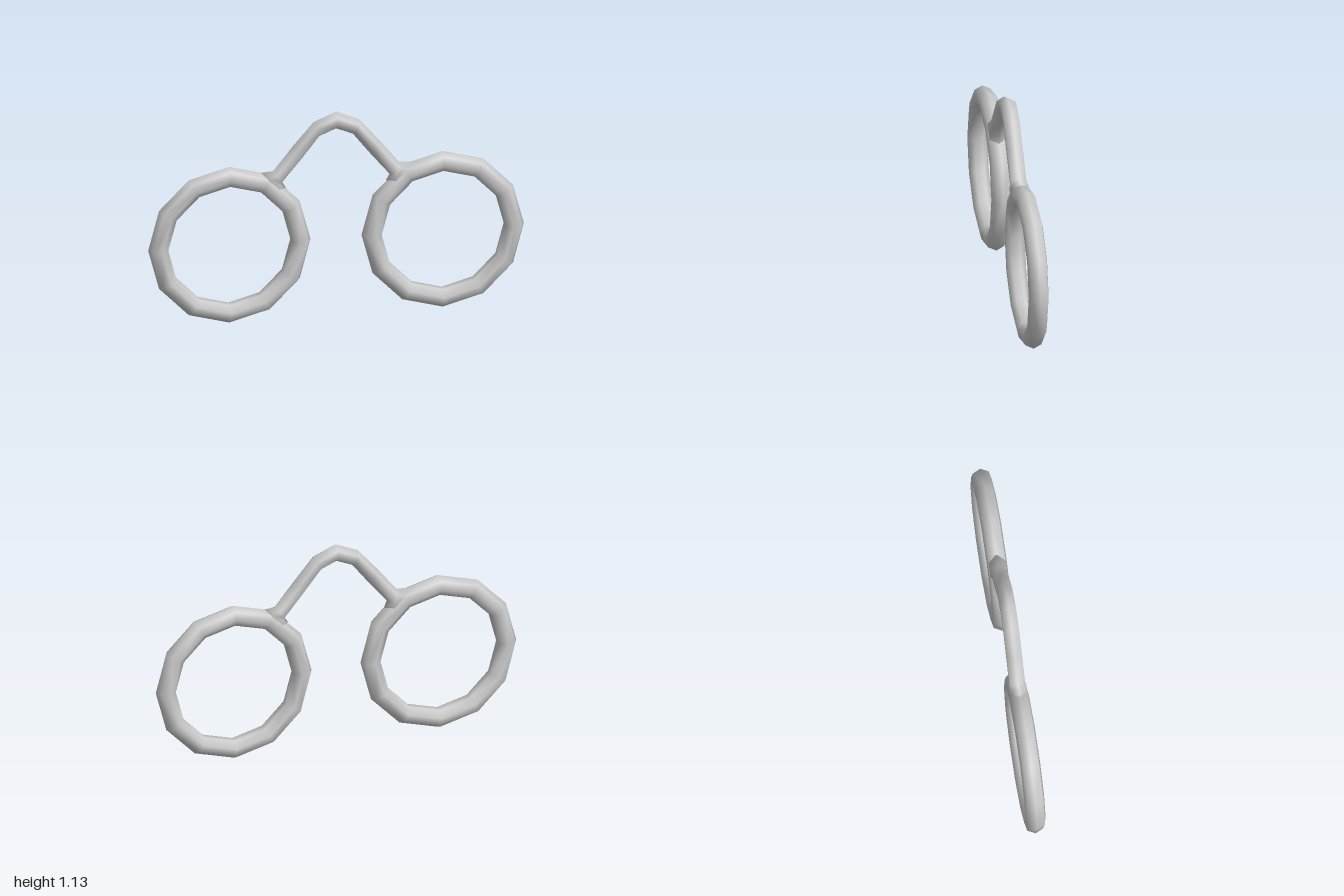
import * as THREE from 'three';

const material = new THREE.MeshStandardMaterial({ color: 0xcccccc, side: THREE.DoubleSide });

// Sweeps a hexagonal section; each row is outer x, y, inner x, y, half depth
function sweptBar(rows, sides = 6) {
  const positions = [], index = [];
  rows.forEach(([ox, oy, ix, iy, depth], i) => {
    for (let j = 0; j < sides; j++) {
      const a = (j / sides) * Math.PI * 2;
      const t = (1 + Math.cos(a)) / 2;
      positions.push(ix + (ox - ix) * t, iy + (oy - iy) * t, Math.sin(a) * depth);
      if (i === rows.length - 1) continue;
      const k = (j + 1) % sides;
      const p = i * sides, q = p + sides;
      index.push(p + j, p + k, q + k, p + j, q + k, q + j);
    }
  });
  const geometry = new THREE.BufferGeometry();
  geometry.setAttribute('position', new THREE.Float32BufferAttribute(positions, 3));
  geometry.setIndex(index);
  geometry.computeVertexNormals();
  return geometry;
}

export function createModel() {
  const group = new THREE.Group();

  // Two twelve-segment lens rims with a seven-sided tube
  for (const side of [1, -1]) {
    const rim = new THREE.Mesh(new THREE.TorusGeometry(0.378, 0.054, 7, 12), material);
    rim.name = side > 0 ? 'leftRim' : 'rightRim';
    rim.position.set(side * 0.568, 0.435, 0);
    rim.scale.x = side;
    group.add(rim);
  }

  // Arched bridge, from its crown to the flared root inside the rim
  const half = [
    [0, 1.13, 0, 1.037, 0.047],
    [0.12, 1.08, 0.09, 1.0, 0.047],
    [0.23, 0.955, 0.178, 0.889, 0.047],
    [0.335, 0.825, 0.287, 0.76, 0.047],
    [0.4, 0.821, 0.267, 0.731, 0.052],
    [0.39, 0.76, 0.3, 0.67, 0.045],
  ];
  const mirrored = half.slice(1).reverse().map(([ox, oy, ix, iy, d]) => [-ox, oy, -ix, iy, d]);
  const bridge = new THREE.Mesh(sweptBar([...mirrored, ...half]), material);
  bridge.name = 'bridge';
  group.add(bridge);

  return group;
}
